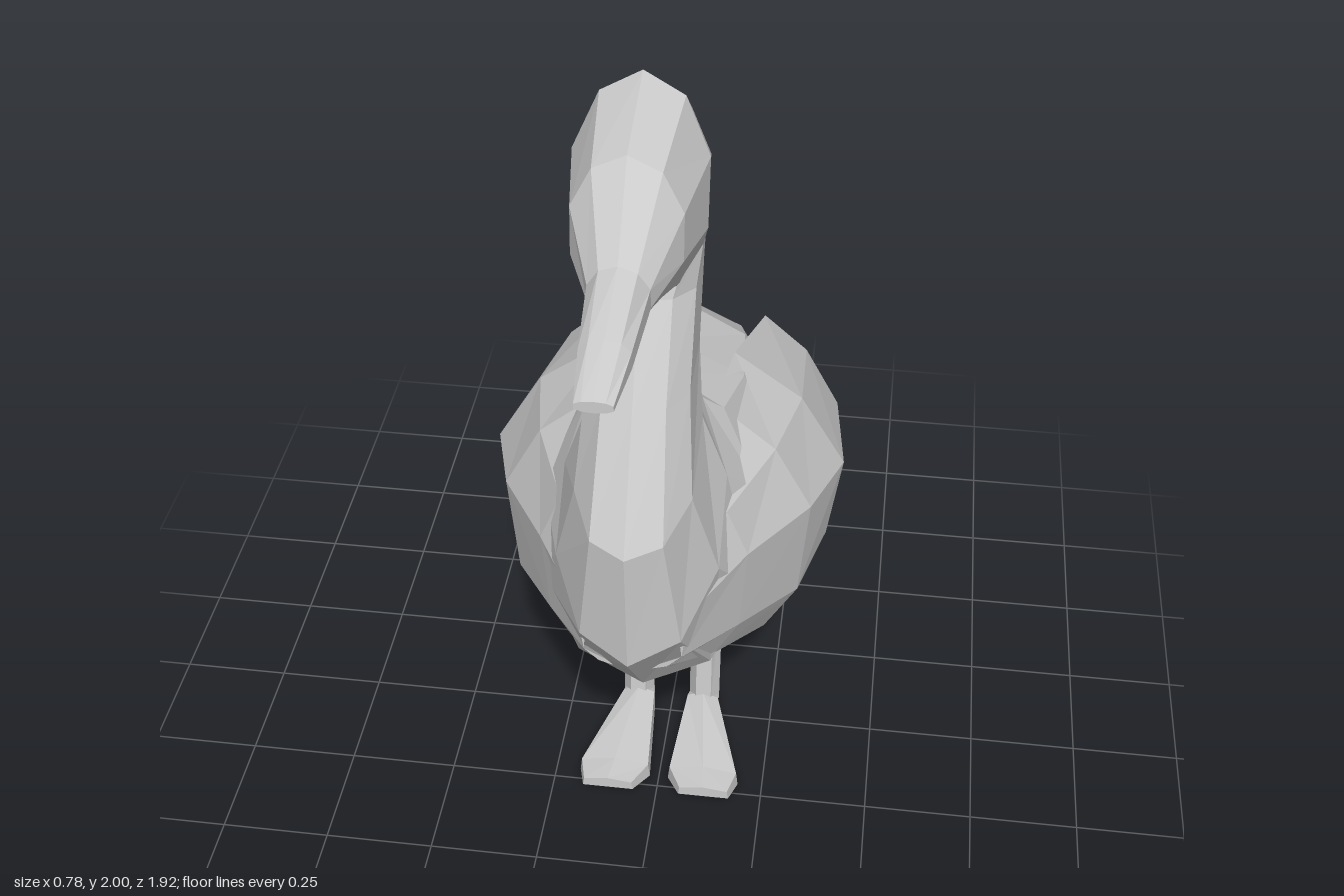
import * as THREE from 'three';

const grey = new THREE.MeshStandardMaterial({ color: 0xcccccc, flatShading: true });

// Closed loft through rings of [x, y, z] points; winding is fixed by signed volume.
function loft(name, rings) {
  const n = rings[0].length, pts = rings.flat(), index = [];
  for (let r = 0; r < rings.length - 1; r++) {
    for (let i = 0; i < n; i++) {
      const a = r * n + i, b = r * n + (i + 1) % n;
      index.push(a, b, a + n, b, b + n, a + n);
    }
  }
  const last = (rings.length - 1) * n;
  for (let i = 1; i < n - 1; i++) {
    index.push(0, i + 1, i, last, last + i, last + i + 1);
  }
  const v = pts.map(p => new THREE.Vector3(...p));
  let volume = 0;
  for (let i = 0; i < index.length; i += 3) {
    volume += v[index[i]].dot(v[index[i + 1]].clone().cross(v[index[i + 2]]));
  }
  if (volume < 0) index.reverse();
  const geo = new THREE.BufferGeometry().setFromPoints(v);
  geo.setIndex(index);
  geo.computeVertexNormals();
  const mesh = new THREE.Mesh(geo, grey);
  mesh.name = name;
  return mesh;
}

// Ten-sided ring between a top and a bottom point in the middle plane.
// A power below 1 makes the section boxier.
function ring([topZ, topY, botZ, botY, halfWidth, power = 1]) {
  return Array.from({ length: 10 }, (_, i) => {
    const a = i * Math.PI / 5, c = Math.cos(a);
    const t = (1 - Math.sign(c) * Math.abs(c) ** power) / 2;
    return [
      halfWidth * Math.sin(a) / Math.sin(Math.PI * 0.4),
      topY + (botY - topY) * t,
      topZ + (botZ - topZ) * t,
    ];
  });
}

// Rows: top z, top y, bottom z, bottom y, half width, power
const torso = [
  [-0.95, 0.41, -0.96, 0.38, 0.025],
  [-0.88, 0.48, -0.86, 0.44, 0.05],
  [-0.80, 0.565, -0.80, 0.495, 0.08],
  [-0.60, 0.78, -0.57, 0.56, 0.145],
  [-0.49, 0.89, -0.53, 0.42, 0.17],
  [-0.42, 0.96, -0.40, 0.355, 0.19],
  [-0.17, 1.14, -0.06, 0.35, 0.24],
  [0.05, 1.19, 0.18, 0.43, 0.27],
  [0.22, 1.23, 0.46, 0.57, 0.23],
  [0.24, 1.26, 0.67, 0.83, 0.165],
  [0.27, 1.32, 0.69, 1.13, 0.115, 0.8],
  [0.25, 1.40, 0.56, 1.38, 0.10, 0.6],
  [0.20, 1.55, 0.46, 1.57, 0.10, 0.6],
];
const head = [
  torso[torso.length - 1],
  [0.18, 1.85, 0.455, 1.575, 0.11, 0.7],
  [0.37, 2.00, 0.47, 1.58, 0.125],
  [0.57, 1.945, 0.60, 1.65, 0.10],
  [0.69, 1.80, 0.68, 1.67, 0.055],
];
const bill = [
  head[head.length - 1],
  [0.84, 1.755, 0.84, 1.68, 0.045, 0.7],
  [0.96, 1.72, 0.96, 1.697, 0.033, 0.7],
];

// Wing stations, front to back, with [x, y] corners running from top to bottom edge
const wing = [
  { z: 0.60, top: [0.08, 1.08], shoulder: [0.10, 1.03], ridge: [0.115, 0.92], lip: [0.10, 0.80], under: [0.07, 0.77], bottom: [0.04, 0.76] },
  { z: 0.43, top: [0.12, 1.12], shoulder: [0.17, 1.05], ridge: [0.215, 0.94], lip: [0.20, 0.74], under: [0.15, 0.65], bottom: [0.09, 0.61] },
  { z: 0.22, top: [0.12, 1.16], shoulder: [0.25, 1.05], ridge: [0.33, 0.90], lip: [0.31, 0.66], under: [0.24, 0.54], bottom: [0.15, 0.49] },
  { z: 0.00, top: [0.14, 1.13], shoulder: [0.29, 1.02], ridge: [0.39, 0.85], lip: [0.36, 0.64], under: [0.26, 0.46], bottom: [0.18, 0.425] },
  { z: -0.33, top: [0.18, 1.00], shoulder: [0.28, 0.91], ridge: [0.36, 0.76], lip: [0.32, 0.58], under: [0.26, 0.46], bottom: [0.19, 0.42] },
  { z: -0.60, top: [0.20, 0.77], shoulder: [0.26, 0.72], ridge: [0.30, 0.64], lip: [0.275, 0.54], under: [0.25, 0.46], bottom: [0.21, 0.43] },
  { z: -0.84, top: [0.235, 0.52], shoulder: [0.25, 0.52], ridge: [0.265, 0.51], lip: [0.26, 0.495], under: [0.25, 0.455], bottom: [0.235, 0.45] },
];

// One feather layer: the outer corners plus an inner point that keeps it thin.
function featherLayer(name, side, keys, slit) {
  return loft(name, wing.map(s => {
    const drop = s.z < -0.4 ? slit : 0;
    const outer = keys.map(k => [s[k][0], s[k][1] - (k === 'lip' ? drop : 0)]);
    const first = outer[0], end = outer[outer.length - 1], mid = s[keys[keys.length - 2]];
    const inner = [0, 1].map(i => (first[i] + end[i]) / 4 + mid[i] / 2);
    inner[0] -= 0.015;
    return [...outer, inner].map(([x, y]) => [side * x, y, s.z]);
  }));
}

// Rows: z, centre x, half width, bottom y, top y
const foot = [
  [-0.075, 0.08, 0.03, 0.005, 0.035],
  [-0.01, 0.08, 0.04, 0.005, 0.065],
  [0.22, 0.107, 0.085, 0, 0.05],
  [0.285, 0.115, 0.06, 0.02, 0.05],
];

// Hexagonal leg ring
const legRing = (side, y, z, rx, rz) => Array.from({ length: 6 }, (_, i) => {
  const a = i * Math.PI / 3;
  return [side * 0.082 + rx * Math.cos(a), y, z + rz * Math.sin(a)];
});

export function createModel() {
  const model = new THREE.Group();
  model.name = 'bird';
  model.add(
    loft('bodyAndNeck', torso.map(ring)),
    loft('head', head.map(ring)),
    loft('bill', bill.map(ring)),
  );
  for (const [label, side] of [['left', 1], ['right', -1]]) {
    const wingGroup = new THREE.Group();
    wingGroup.name = label + 'Wing';
    wingGroup.add(
      featherLayer('upperFeathers', side, ['top', 'shoulder', 'ridge', 'lip'], 0),
      featherLayer('lowerFeathers', side, ['lip', 'under', 'bottom'], 0.025),
    );

    const legGroup = new THREE.Group();
    legGroup.name = label + 'Leg';
    legGroup.add(
      loft('shin', [
        legRing(side, 0.03, -0.03, 0.037, 0.034),
        legRing(side, 0.43, -0.075, 0.038, 0.045),
      ]),
      loft('foot', foot.map(([z, x, w, low, high]) => [
        [side * (x - w), low, z],
        [side * (x + w), low, z],
        [side * (x + w * 0.95), low + (high - low) * 0.75, z],
        [side * x, high, z],
        [side * (x - w * 0.95), low + (high - low) * 0.75, z],
      ])),
    );
    model.add(wingGroup, legGroup);
  }
  return model;
}
